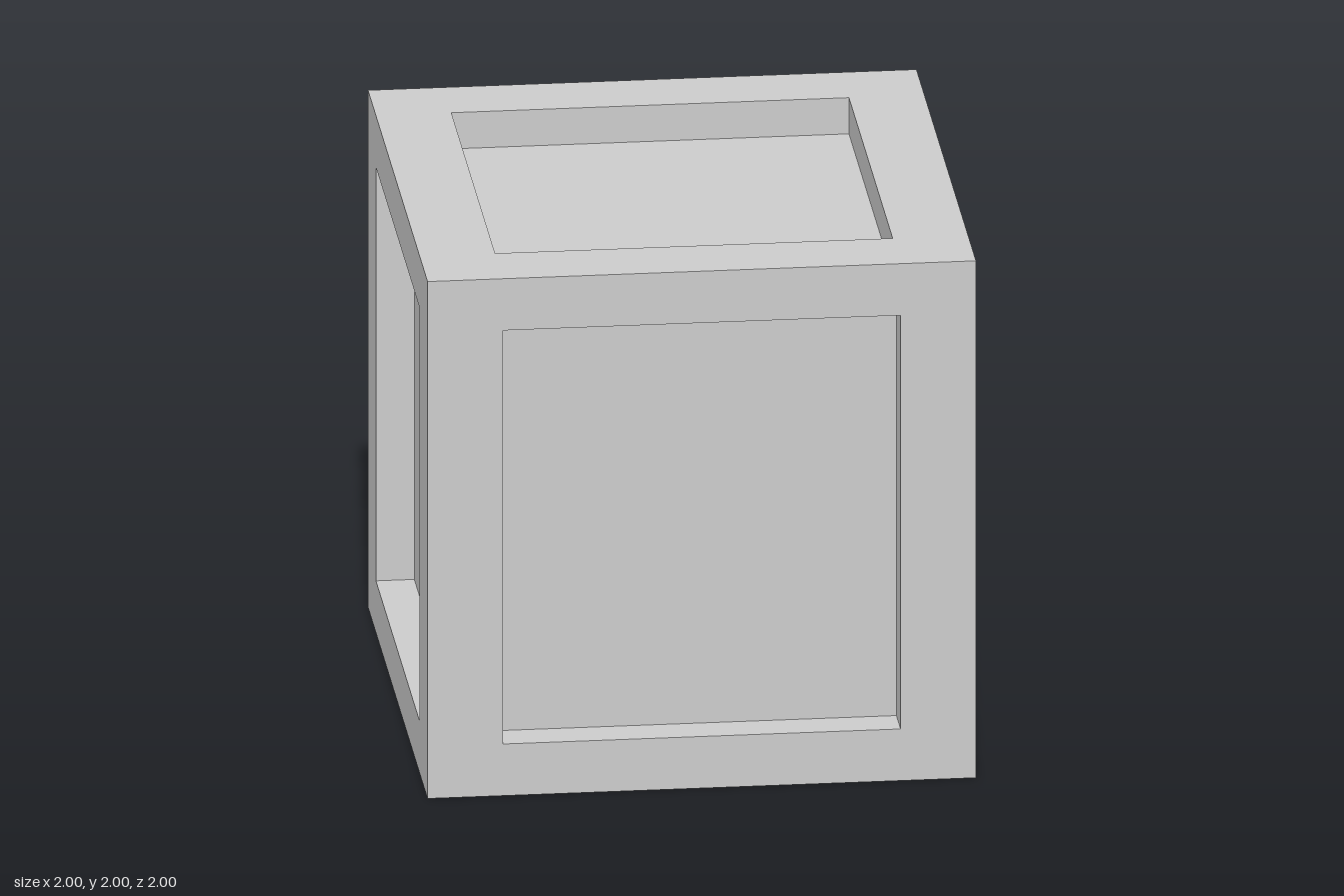
import * as THREE from 'three';

const material = new THREE.MeshStandardMaterial({ color: 0xcccccc });
const DEPTH = 0.14; // how far each panel is set back

// Corners of a rectangle with half sizes w, h at height z, counter-clockwise
const loop = (w, h, z) => [[-w, -h, z], [w, -h, z], [w, h, z], [-w, h, z]];

// One cube side: flat border, four recess walls and the sunken panel
function recessedSide(w, h) {
  const loops = [loop(1, 1, 1), loop(w, h, 1), loop(w, h, 1 - DEPTH)];
  const positions = [];
  const quad = (a, b, c, d) => positions.push(...a, ...b, ...c, ...a, ...c, ...d);
  for (let k = 0; k < 2; k++) {
    for (let i = 0; i < 4; i++) {
      const j = (i + 1) % 4;
      quad(loops[k][i], loops[k][j], loops[k + 1][j], loops[k + 1][i]);
    }
  }
  quad(...loops[2]);
  const geometry = new THREE.BufferGeometry();
  geometry.setAttribute('position', new THREE.Float32BufferAttribute(positions, 3));
  geometry.computeVertexNormals();
  return geometry;
}

export function createModel() {
  const crate = new THREE.Group();
  crate.name = 'crate';

  // Half sizes of the recess openings along x, y and z
  const X = 0.725, Y = 0.8, Z = 0.735;
  const H = Math.PI / 2;
  const sides = [
    ['frontSide', X, Y, 0, 0],
    ['backSide', X, Y, 0, Math.PI],
    ['leftSide', Z, Y, 0, H],
    ['rightSide', Z, Y, 0, -H],
    ['topSide', X, Z, -H, 0],
    ['bottomSide', X, Z, H, 0],
  ];
  for (const [name, w, h, rx, ry] of sides) {
    const side = new THREE.Mesh(recessedSide(w, h), material);
    side.name = name;
    side.rotation.set(rx, ry, 0);
    side.position.y = 1;
    crate.add(side);
  }
  return crate;
}
